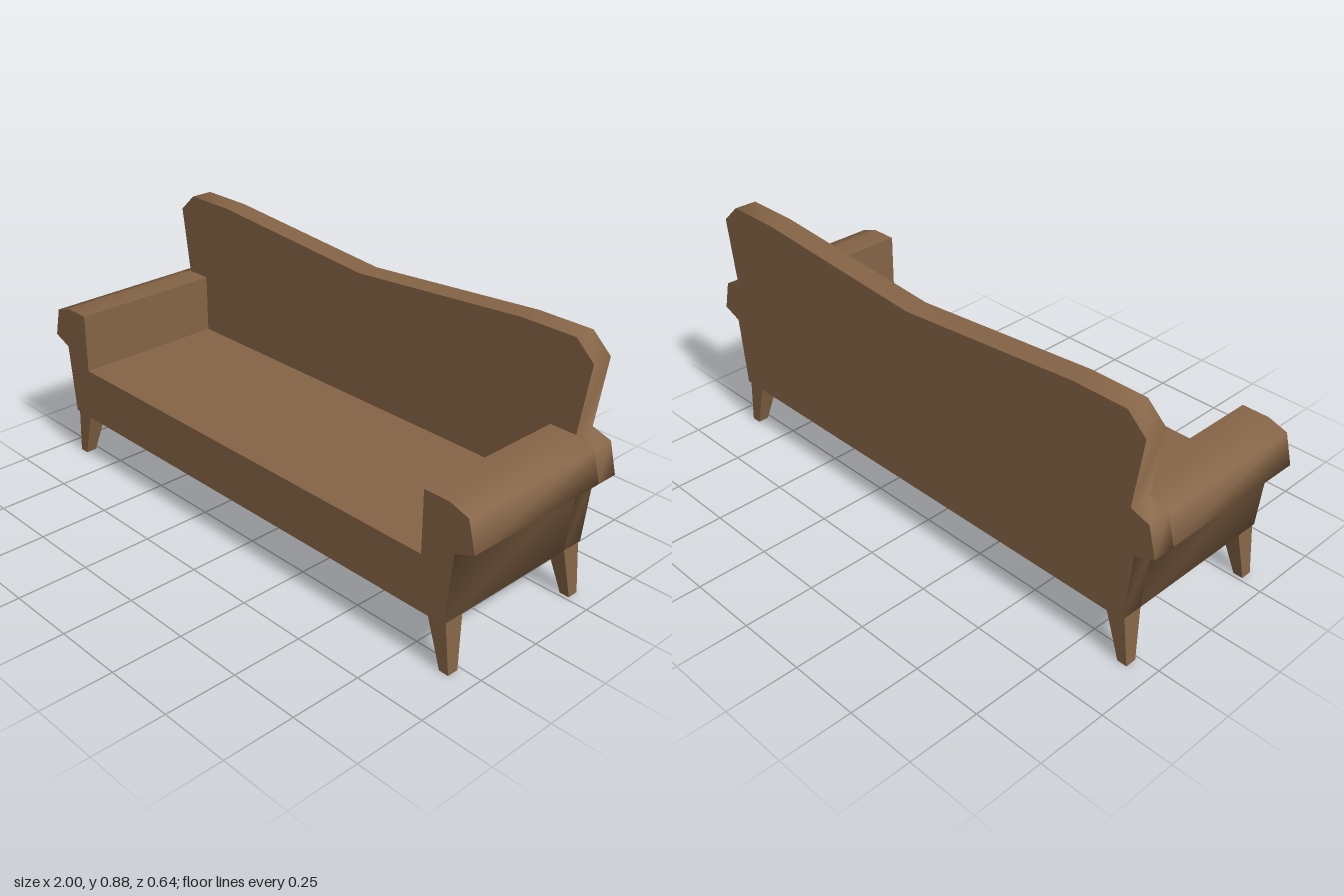
import * as THREE from 'three';
import { toCreasedNormals } from 'three/addons/utils/BufferGeometryUtils.js';

const SEAT_FRONT = 0.318, BACK_FRONT = -0.237, BACK_REAR = -0.318;
const BASE = 0.178;
const CREASE = 1.5;

// Outer right-hand outline shared by the body and the backrest, bottom to arm top
const armOutline = [[0.905, BASE], [0.93, 0.428], [1, 0.455], [0.973, 0.56], [0.905, 0.582]];

// Extrudes a half outline, mirrored across x = 0, between two depths
function mirroredSlab(half, zBack, zFront) {
  const left = half.filter(([x]) => x > 0).reverse().map(([x, y]) => [-x, y]);
  const shape = new THREE.Shape([...half, ...left].map(([x, y]) => new THREE.Vector2(x, y)));
  const geo = new THREE.ExtrudeGeometry(shape, { depth: zFront - zBack, bevelEnabled: false });
  geo.translate(0, 0, zBack);
  return toCreasedNormals(geo, CREASE);
}

// Tapered, splayed leg; sx and sz choose the corner
function legGeometry(sx, sz) {
  const geo = new THREE.BoxGeometry(1, 1, 1);
  const p = geo.attributes.position;
  for (let i = 0; i < p.count; i++) {
    const top = p.getY(i) > 0;
    const outerX = p.getX(i) * sx > 0, outerZ = p.getZ(i) * sz > 0;
    const x = top ? (outerX ? 0.905 : 0.835) : (outerX ? 0.922 : 0.887);
    const z = top ? (outerZ ? 0.308 : 0.237) : (outerZ ? 0.304 : 0.264);
    p.setXYZ(i, sx * x, top ? BASE : 0, sz * z);
  }
  geo.computeVertexNormals();
  return geo;
}

export function createModel() {
  const model = new THREE.Group();
  model.name = 'sofa';
  const brown = new THREE.MeshStandardMaterial({ color: 0x856446 });
  brown.name = 'brown';

  const add = (name, geometry) => {
    const mesh = new THREE.Mesh(geometry, brown);
    mesh.name = name;
    model.add(mesh);
  };

  // Seat and rolled arms in one section
  add('seatAndArms', mirroredSlab(
    [...armOutline, [0.81, 0.582], [0.81, 0.37]], BACK_FRONT, SEAT_FRONT));

  // Backrest with a dipped top, running down to the base
  add('backrest', mirroredSlab(
    [...armOutline, [0.94, 0.822], [0.872, 0.885], [0.675, 0.885], [0, 0.83]],
    BACK_REAR, BACK_FRONT));

  // Four legs
  for (const sx of [1, -1]) {
    for (const sz of [1, -1]) {
      add(`${sz > 0 ? 'front' : 'back'}${sx > 0 ? 'Left' : 'Right'}Leg`, legGeometry(sx, sz));
    }
  }
  return model;
}
